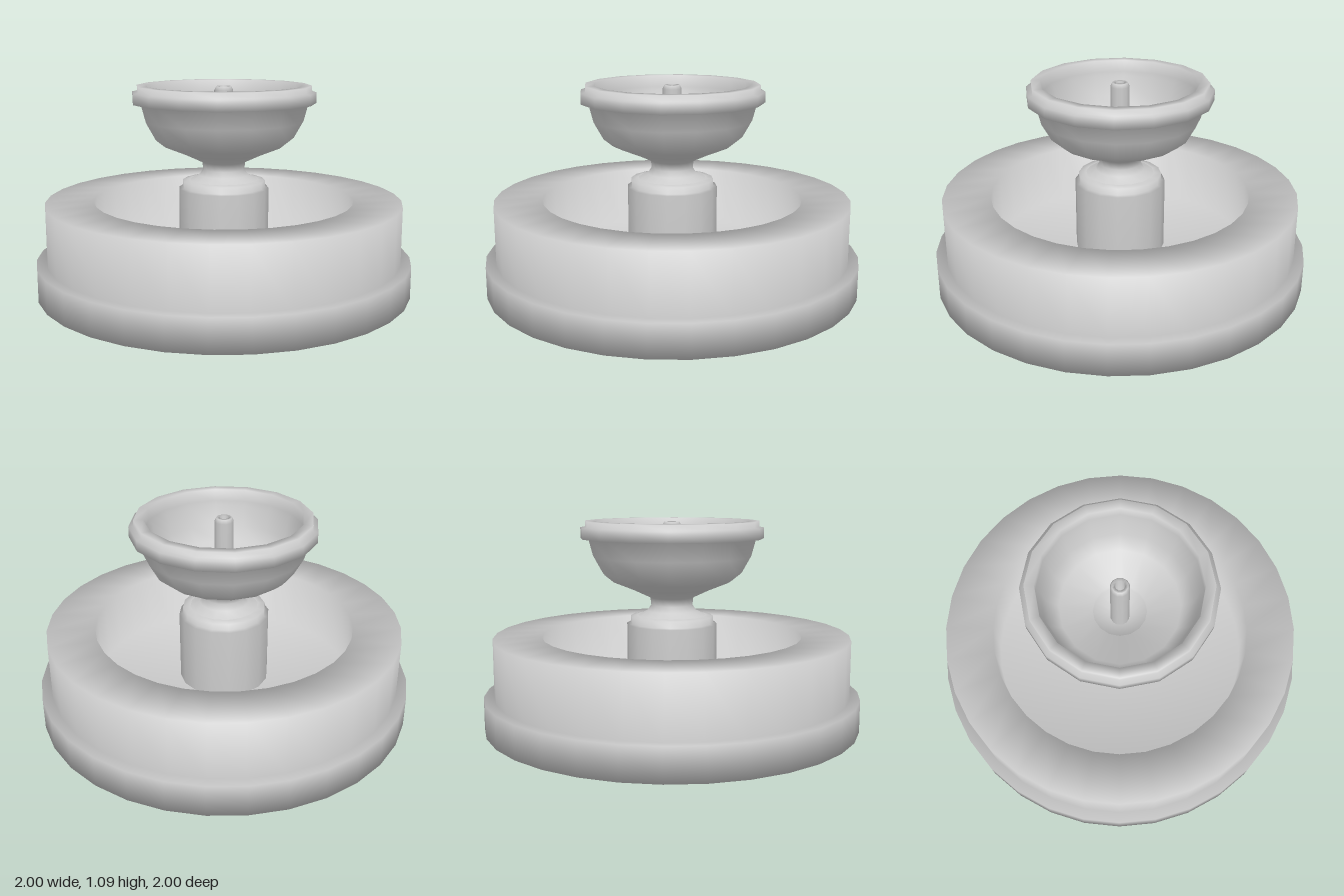
import * as THREE from 'three';

const material = new THREE.MeshStandardMaterial({ color: 0xcccccc, side: THREE.DoubleSide });

// Revolves a [radius, height] profile around the y axis
function turned(name, profile, sides) {
  const points = profile.map(([r, y]) => new THREE.Vector2(r, y));
  const mesh = new THREE.Mesh(new THREE.LatheGeometry(points, sides), material);
  mesh.name = name;
  return mesh;
}

export function createModel() {
  const fountain = new THREE.Group();
  fountain.name = 'fountain';

  // Wide pool: plinth, outer wall, flat rim, inner wall and floor
  fountain.add(turned('pool', [
    [0, 0], [1, 0], [1, 0.17], [0.945, 0.17], [0.945, 0.48],
    [0.69, 0.48], [0.69, 0.16], [0, 0.16],
  ], 32));

  // Central column with a stepped cap
  fountain.add(turned('column', [
    [0.24, 0.16], [0.24, 0.54], [0.22, 0.545], [0.22, 0.58], [0.18, 0.585],
  ], 16));

  // Upper bowl: neck, flared outside, banded rim and hollow inside
  fountain.add(turned('upperBowl', [
    [0.18, 0.585], [0.13, 0.61], [0.11, 0.64], [0.115, 0.68], [0.21, 0.725],
    [0.32, 0.77], [0.37, 0.81], [0.42, 0.9], [0.445, 0.995],
    [0.485, 0.995], [0.485, 1.05], [0.46, 1.055], [0.46, 1.085],
    [0.41, 1.085], [0.41, 1.02], [0.39, 1.0], [0.37, 0.89], [0.31, 0.82],
    [0.14, 0.755], [0.14, 0.72], [0.05, 0.67], [0, 0.67],
  ], 16));

  // Hollow water spout
  fountain.add(turned('spout', [
    [0.05, 0.67], [0.05, 1.06], [0.04, 1.08], [0.025, 1.08], [0.025, 1.0], [0, 1.0],
  ], 12));

  return fountain;
}
